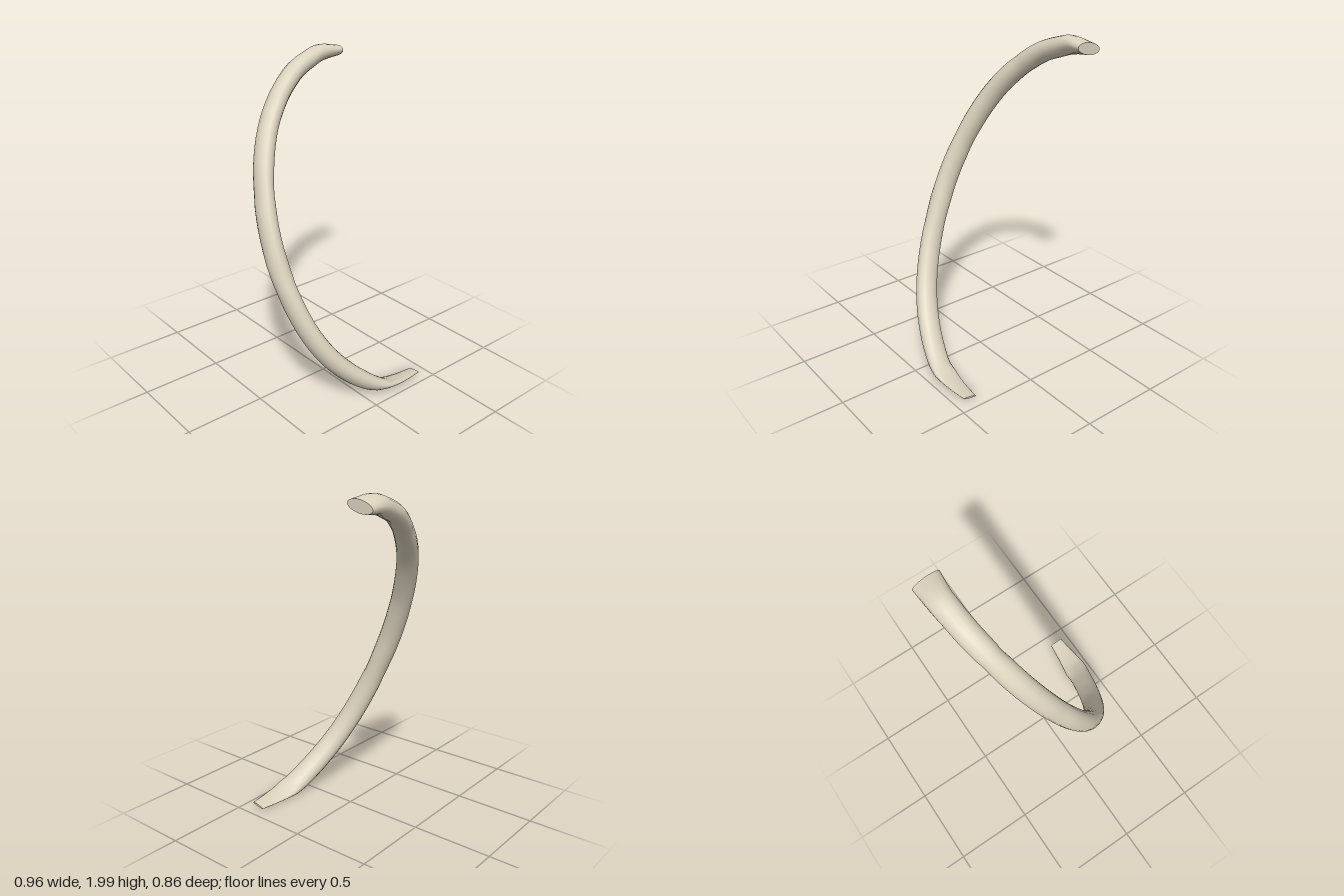
import * as THREE from 'three';

// Stations along the rib: z, y, half width, half thickness, tilt of the section
const STATIONS = [
  [-0.43, 1.943, 0.083, 0.034, 0.2],
  [-0.30, 1.942, 0.075, 0.052, 0.36],
  [-0.20, 1.912, 0.072, 0.056, 0.42],
  [-0.10, 1.872, 0.071, 0.057, 0.42],
  [0.00, 1.805, 0.070, 0.057, 0.42],
  [0.10, 1.715, 0.070, 0.057, 0.42],
  [0.20, 1.590, 0.070, 0.057, 0.42],
  [0.29, 1.410, 0.070, 0.057, 0.42],
  [0.35, 1.200, 0.070, 0.057, 0.42],
  [0.372, 0.970, 0.070, 0.058, 0.42],
  [0.345, 0.700, 0.070, 0.058, 0.42],
  [0.275, 0.470, 0.071, 0.058, 0.42],
  [0.185, 0.310, 0.072, 0.058, 0.42],
  [0.09, 0.200, 0.073, 0.057, 0.42],
  [0.00, 0.122, 0.074, 0.054, 0.40],
  [-0.10, 0.058, 0.074, 0.044, 0.34],
  [-0.20, 0.032, 0.073, 0.020, 0.2],
  [-0.30, 0.022, 0.060, 0.012, 0.2],
  [-0.425, 0.020, 0.045, 0.006, 0.2],
];
const SIDES = 16, STEPS = 72;

// The whole rib lies in one leaning plane
const path = new THREE.CatmullRomCurve3(
  STATIONS.map(([z, y]) => new THREE.Vector3(0.41 - 0.421 * y, y, z)));
const section = new THREE.CatmullRomCurve3(
  STATIONS.map(([, , a, b, k]) => new THREE.Vector3(a, b, k)));

function ring(t) {
  const centre = path.getPoint(t), tangent = path.getTangent(t), size = section.getPoint(t);
  const across = new THREE.Vector3(1, size.z, 0);
  across.addScaledVector(tangent, -across.dot(tangent)).normalize();
  const depth = new THREE.Vector3().crossVectors(tangent, across);
  return Array.from({ length: SIDES }, (_, j) => {
    const angle = (j / SIDES) * Math.PI * 2;
    return centre.clone()
      .addScaledVector(across, size.x * Math.cos(angle))
      .addScaledVector(depth, size.y * Math.sin(angle));
  });
}

function geometryFrom(points, index) {
  const geometry = new THREE.BufferGeometry().setFromPoints(points);
  geometry.setIndex(index);
  geometry.computeVertexNormals();
  return geometry;
}

// Smooth skin lofted through the rings
function shaftGeometry() {
  const points = [], index = [];
  for (let i = 0; i <= STEPS; i++) points.push(...ring(i / STEPS));
  for (let i = 0; i < STEPS; i++) {
    for (let j = 0; j < SIDES; j++) {
      const k = (j + 1) % SIDES;
      const a = i * SIDES + j, b = i * SIDES + k;
      index.push(a, b, a + SIDES, b, b + SIDES, a + SIDES);
    }
  }
  return geometryFrom(points, index);
}

// Flat end, kept separate for a crisp rim
function capGeometry(t) {
  const points = [...ring(t), path.getPoint(t)], index = [];
  for (let j = 0; j < SIDES; j++) {
    const k = (j + 1) % SIDES;
    index.push(SIDES, ...(t === 0 ? [k, j] : [j, k]));
  }
  return geometryFrom(points, index);
}

export function createModel() {
  const bone = new THREE.MeshStandardMaterial({ color: 0xdbd2bd });
  bone.name = 'bone';
  const model = new THREE.Group();
  model.name = 'rib';
  const add = (name, geometry) => {
    const mesh = new THREE.Mesh(geometry, bone);
    mesh.name = name;
    model.add(mesh);
  };
  add('ribShaft', shaftGeometry());
  add('upperEnd', capGeometry(0));
  add('lowerEnd', capGeometry(1));
  return model;
}
